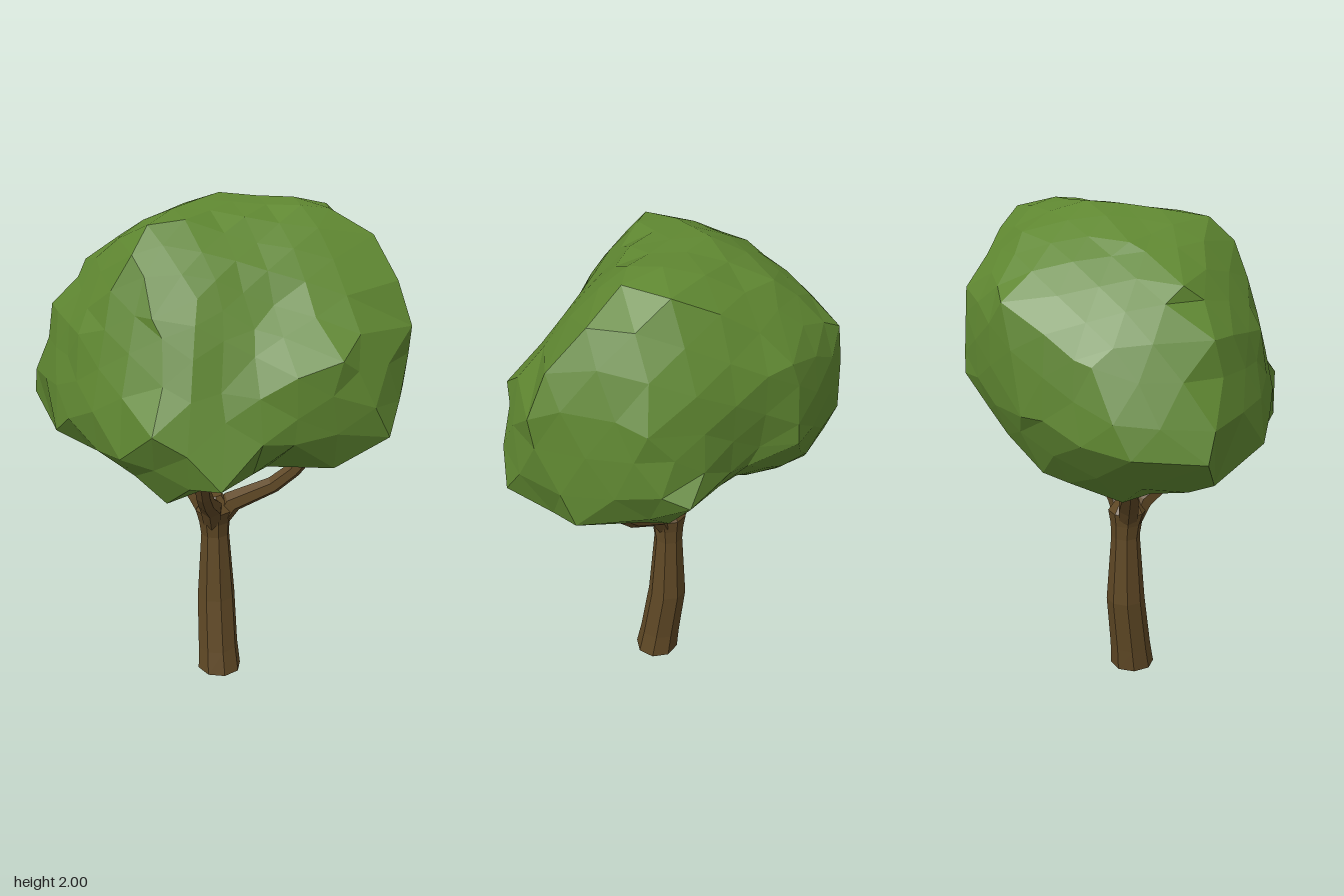
import * as THREE from 'three';
import { mergeVertices } from 'three/addons/utils/BufferGeometryUtils.js';
import { ConvexGeometry } from 'three/addons/geometries/ConvexGeometry.js';

const V = (x, y, z) => new THREE.Vector3(x, y, z);

// Tapered faceted limb: stations are [x, y, z, radius]; side is a horizontal vector across the bend.
function limbGeometry(stations, side, sides) {
  const pts = stations.map(([x, y, z]) => V(x, y, z));
  const pos = [], index = [], last = pts.length - 1;
  pts.forEach((p, i) => {
    const t = i === 0 ? V(0, 1, 0) : pts[Math.min(i + 1, last)].clone().sub(pts[i - 1]).normalize();
    const n = t.clone().cross(side).normalize();
    for (let j = 0; j < sides; j++) {
      const a = ((j + 0.5) / sides) * Math.PI * 2, r = stations[i][3];
      const v = p.clone().addScaledVector(side, Math.cos(a) * r).addScaledVector(n, Math.sin(a) * r);
      pos.push(v.x, v.y, v.z);
    }
  });
  const base = pts.length * sides;
  for (const p of [pts[0], pts[last]]) pos.push(p.x, p.y, p.z);
  for (let j = 0; j < sides; j++) {
    const k = (j + 1) % sides;
    for (let i = 0; i < last; i++) {
      const a = i * sides + j, b = i * sides + k;
      index.push(a, b, b + sides, a, b + sides, a + sides);
    }
    index.push(base, k, j, base + 1, last * sides + j, last * sides + k);
  }
  const g = new THREE.BufferGeometry();
  g.setAttribute('position', new THREE.Float32BufferAttribute(pos, 3));
  g.setIndex(index);
  g.computeVertexNormals();
  return g;
}

// Corners of the leafy crown, from the top down to the hollow underside.
const corners = [
  // top
  [0, 2, -0.17], [0.43, 1.96, -0.1], [0.41, 1.95, -0.28], [-0.2, 1.94, 0.24],
  [0.13, 1.95, 0.08], [-0.3, 1.88, -0.15], [0, 1.9, -0.43],
  // shoulders
  [0.6, 1.87, -0.08], [0.7, 1.72, 0.02], [-0.24, 1.85, 0.33], [-0.51, 1.75, -0.05],
  [0.15, 1.69, -0.6], [-0.2, 1.69, -0.6],
  // middle
  [0.76, 1.56, 0.06], [0.62, 1.55, -0.33], [0.52, 1.5, 0.36], [0.2, 1.6, 0.34],
  [-0.15, 1.65, 0.44], [-0.45, 1.55, 0.32], [-0.64, 1.58, 0], [-0.5, 1.5, -0.4],
  [0.12, 1.37, -0.63], [-0.3, 1.3, -0.58], [0.56, 1.28, -0.46], [0.1, 1.4, 0.47], [-0.1, 1.43, 0.52],
  // lower rim
  [0.73, 1.17, -0.1], [0.7, 1.18, 0.24], [0.36, 1.2, 0.42], [-0.12, 1.28, 0.63],
  [0.12, 1.08, 0.61], [-0.26, 1.15, 0.53], [-0.57, 1.15, 0.27], [-0.76, 1.18, -0.09], [-0.65, 1.2, -0.33],
  // underside
  [-0.66, 1.06, 0], [-0.1, 0.965, 0.48], [-0.38, 0.94, -0.22], [-0.2, 0.945, -0.1], [-0.25, 1.06, -0.48],
  [0.5, 0.99, 0.03], [0.42, 1.06, -0.28], [0.25, 1.3, -0.5], [0.2, 1.12, -0.2],
  [0.1, 1.06, 0.15], [-0.3, 1.02, 0.2], [0.5, 1.06, 0.28], [0.25, 1.06, 0.3],
];

// Coarse sphere shrunk onto the faces between the corners, slightly rounded,
// with the nearest vertex set on each corner.
function crownGeometry() {
  const centre = V(0, 1.45, -0.05), origin = V(0, 0, 0);
  const tips = corners.map(([x, y, z]) => V(x, y, z).sub(centre));
  const dirs = tips.map((tip) => tip.clone().normalize());

  // Triangulate the corners by their directions
  const hull = new ConvexGeometry(dirs).attributes.position;
  const cage = [];
  for (let i = 0; i < hull.count; i++) {
    const v = V(0, 0, 0).fromBufferAttribute(hull, i);
    const dots = dirs.map((dir) => dir.dot(v));
    cage.push(tips[dots.indexOf(Math.max(...dots))]);
  }

  let g = new THREE.IcosahedronGeometry(1, 4);
  g.deleteAttribute('uv');
  g.deleteAttribute('normal');
  g = mergeVertices(g, 1e-3);
  const pos = g.attributes.position;
  const nearest = dirs.map(() => ({ dot: -1, vertex: 0 }));
  for (let i = 0; i < pos.count; i++) {
    const d = V(0, 0, 0).fromBufferAttribute(pos, i).normalize();
    let sum = 0, weights = 0;
    dirs.forEach((dir, k) => {
      const dot = d.dot(dir), w = (1.002 - dot) ** -2;
      sum += w * tips[k].length();
      weights += w;
      if (dot > nearest[k].dot) nearest[k] = { dot, vertex: i };
    });
    const round = sum / weights, ray = new THREE.Ray(origin, d), hit = V(0, 0, 0);
    let flat = round;
    for (let t = 0; t < cage.length; t += 3) {
      if (ray.intersectTriangle(cage[t], cage[t + 1], cage[t + 2], false, hit)) flat = hit.length();
    }
    d.multiplyScalar(flat * 0.7 + round * 0.3).add(centre);
    pos.setXYZ(i, d.x, d.y, d.z);
  }
  corners.forEach((c, k) => pos.setXYZ(nearest[k].vertex, ...c));
  g.computeVertexNormals();
  return g;
}

export function createModel() {
  const bark = new THREE.MeshStandardMaterial({ color: 0x5f4825, flatShading: true });
  bark.name = 'bark brown';
  const leaf = new THREE.MeshStandardMaterial({ color: 0x5f8731, flatShading: true });
  leaf.name = 'leaf green';

  const tree = new THREE.Group();
  tree.name = 'tree';
  const add = (name, geometry, material) => {
    const mesh = new THREE.Mesh(geometry, material);
    mesh.name = name;
    tree.add(mesh);
  };

  // Slightly bent trunk flaring at the fork
  add('trunk', limbGeometry([
    [0.036, 0, 0.043, 0.093],
    [0.028, 0.1, 0.03, 0.086],
    [0.015, 0.33, 0, 0.081],
    [0.01, 0.62, -0.003, 0.06],
    [0.008, 0.68, 0, 0.066],
    [0.008, 0.735, 0.005, 0.08],
    [0.005, 0.8, 0.005, 0.035],
  ], V(0, 0, 1), 8), bark);

  // Three branches spreading into the crown
  const branches = {
    leftBranch: [[0.02, 0.66, 0, 0.04], [0.08, 0.768, 0, 0.046], [0.25, 0.855, 0, 0.035], [0.33, 0.925, 0, 0.032], [0.41, 1.03, 0, 0.03], [0.46, 1.14, 0, 0.024]],
    rightBranch: [[0, 0.66, 0, 0.04], [-0.06, 0.775, -0.025, 0.046], [-0.15, 0.87, -0.065, 0.035], [-0.22, 0.97, -0.105, 0.032], [-0.29, 1.12, -0.14, 0.025]],
    frontBranch: [[0.005, 0.66, 0.02, 0.04], [0.005, 0.768, 0.075, 0.046], [0.005, 0.845, 0.2, 0.035], [0.005, 0.91, 0.27, 0.032], [0.005, 1.01, 0.335, 0.03], [0, 1.12, 0.37, 0.024]],
  };
  for (const [name, path] of Object.entries(branches)) {
    const a = path[0], b = path[path.length - 1];
    const side = V(b[2] - a[2], 0, a[0] - b[0]).normalize();
    add(name, limbGeometry(path, side, 6), bark);
  }

  add('leafCrown', crownGeometry(), leaf);
  return tree;
}
